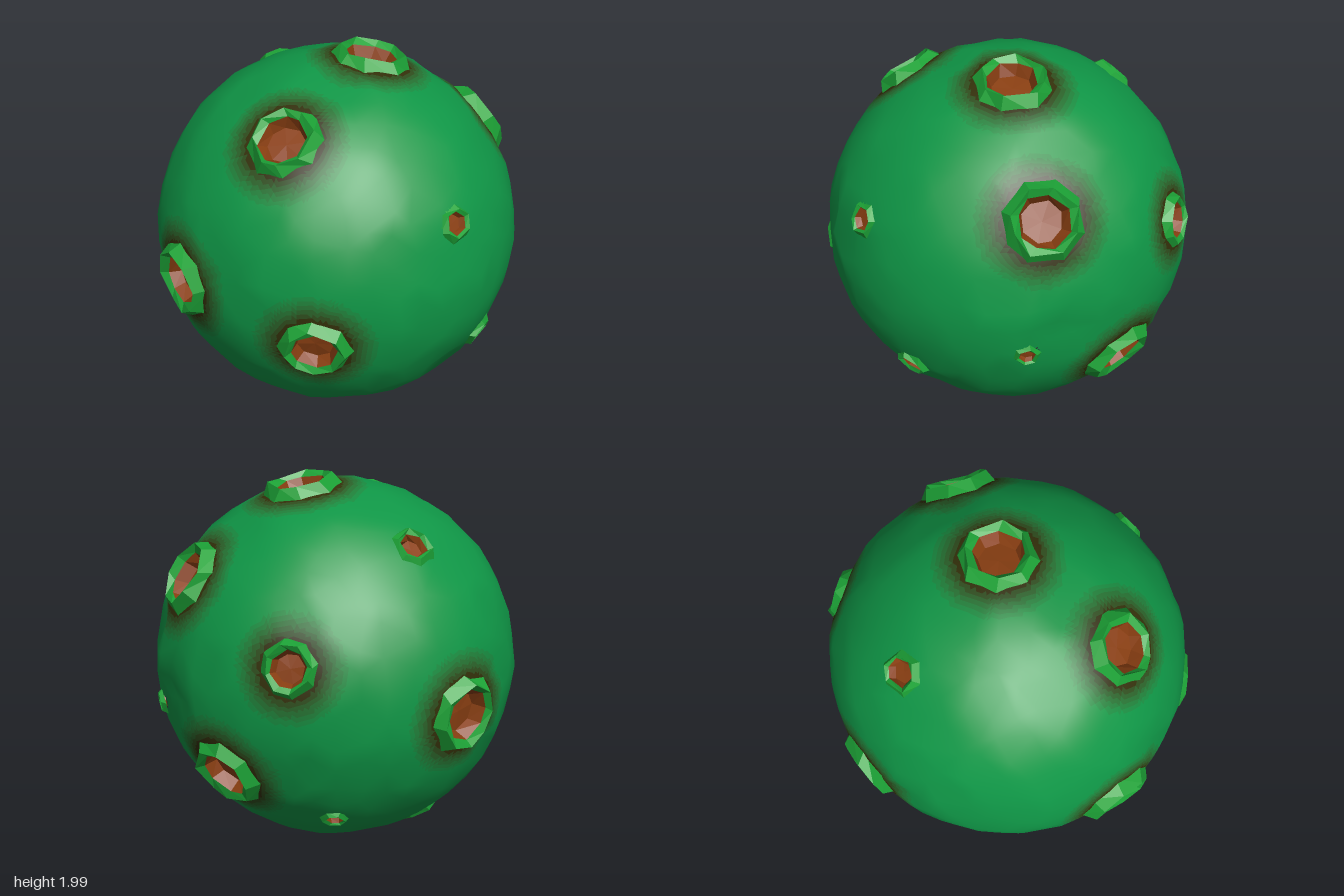
import * as THREE from 'three';
import { mergeVertices } from 'three/addons/utils/BufferGeometryUtils.js';

const RADIUS = 0.965;

// Crater centres as directions from the planet's middle, with outer rim radius
const CRATERS = [
  [-0.20, 0.74, 0.57, 0.19], [-0.74, -0.05, 0.62, 0.20], [-0.02, -0.21, 0.93, 0.18],
  [0.17, 0.94, -0.05, 0.20], [0.75, 0.53, -0.30, 0.20], [0.56, -0.39, -0.68, 0.20],
  [-0.63, -0.06, -0.71, 0.20], [0.23, 0.25, -0.91, 0.14], [-0.45, -0.84, -0.10, 0.15],
  [-0.38, 0.74, -0.50, 0.11], [0.64, 0.36, 0.62, 0.09], [0.78, -0.42, 0.36, 0.095],
  [0.22, -0.89, 0.28, 0.095], [0.91, -0.17, -0.25, 0.065], [0.01, -0.62, -0.74, 0.07],
].map(([x, y, z, r]) => ({ dir: new THREE.Vector3(x, y, z).normalize(), r }));

function seeded(seed) {
  return () => (seed = (seed * 16807) % 2147483647) / 2147483647;
}

// Distance from the nearest rim, in world units, weighted so small craters stain little
function nearestCrater(dir) {
  let ratio = Infinity, halo = 0;
  for (const c of CRATERS) {
    const d = dir.angleTo(c.dir) * RADIUS;
    ratio = Math.min(ratio, d / c.r);
    if (c.r > 0.13) halo = Math.max(halo, 1 - (d - c.r * 0.95) / 0.17);
  }
  return { ratio, halo: THREE.MathUtils.clamp(halo, 0, 0.999) };
}

// Coarse faceted ball with bumps and dents, left smooth around the craters
function coarseBall() {
  const rand = seeded(4711);
  let geo = new THREE.IcosahedronGeometry(1, 7);
  geo.deleteAttribute('uv');
  geo.deleteAttribute('normal');
  geo = mergeVertices(geo, 1e-4);
  const pos = geo.attributes.position;
  const v = new THREE.Vector3();
  for (let i = 0; i < pos.count; i++) {
    v.fromBufferAttribute(pos, i);
    v.x += (rand() - 0.5) * 0.07;
    v.y += (rand() - 0.5) * 0.07;
    v.z += (rand() - 0.5) * 0.07;
    v.normalize();
    let bump = (rand() - 0.5) * 0.014;
    if (rand() < 0.07) bump -= 0.03;
    if (nearestCrater(v).ratio < 1.6) bump = 0;
    v.multiplyScalar(RADIUS + bump);
    pos.setXYZ(i, v.x, v.y, v.z);
  }
  geo.computeVertexNormals();
  return geo.toNonIndexed();
}

// Split every facet finely, cut the crater holes, and sort the pieces into stain bands
function buildGround(group) {
  const SPLIT = 6, BANDS = 7;
  const bands = Array.from({ length: BANDS }, () => ({ p: [], n: [] }));
  const geo = coarseBall();
  const { position, normal } = geo.attributes;
  const corner = (attr, i) => [0, 1, 2].map(k => new THREE.Vector3().fromBufferAttribute(attr, i + k));
  const blend = ([a, b, c], i, j) => a.clone()
    .addScaledVector(b.clone().sub(a), i / SPLIT)
    .addScaledVector(c.clone().sub(a), j / SPLIT);

  for (let t = 0; t < position.count; t += 3) {
    const P = corner(position, t), N = corner(normal, t);
    const piece = (cells) => {
      const pts = cells.map(([i, j]) => blend(P, i, j));
      const mid = pts[0].clone().add(pts[1]).add(pts[2]).normalize();
      const { ratio, halo } = nearestCrater(mid);
      if (ratio < 0.85) return;
      const band = bands[Math.floor(halo * BANDS)];
      pts.forEach((p, k) => {
        band.p.push(p.x, p.y, p.z);
        band.n.push(...blend(N, ...cells[k]).normalize().toArray());
      });
    };
    for (let i = 0; i < SPLIT; i++) {
      for (let j = 0; j < SPLIT - i; j++) {
        piece([[i, j], [i + 1, j], [i, j + 1]]);
        if (i + j < SPLIT - 1) piece([[i + 1, j], [i + 1, j + 1], [i, j + 1]]);
      }
    }
  }

  const green = new THREE.Color(0x0f9646), stain = new THREE.Color(0x33300a);
  bands.forEach(({ p, n }, k) => {
    const g = new THREE.BufferGeometry();
    g.setAttribute('position', new THREE.Float32BufferAttribute(p, 3));
    g.setAttribute('normal', new THREE.Float32BufferAttribute(n, 3));
    const color = green.clone().lerp(stain, k / (BANDS - 1));
    const mesh = new THREE.Mesh(g, new THREE.MeshStandardMaterial({ color }));
    mesh.name = k === 0 ? 'ground' : 'craterStain' + k;
    group.add(mesh);
  });
}

// Strip of faces between rings of points, from the outside inwards
function ringStrip(rings) {
  const out = [];
  const push = (...pts) => pts.forEach(p => out.push(p.x, p.y, p.z));
  for (let k = 0; k < rings.length - 1; k++) {
    const a = rings[k], b = rings[k + 1];
    for (let i = 0; i < a.length; i++) {
      const j = (i + 1) % a.length;
      push(a[i], b[i], a[j]);
      push(a[j], b[i], b[j]);
    }
  }
  const g = new THREE.BufferGeometry();
  g.setAttribute('position', new THREE.Float32BufferAttribute(out, 3));
  g.computeVertexNormals();
  return g;
}

function buildCrater({ dir, r }, index, mats) {
  const rand = seeded(977 + index * 131);
  const sides = r > 0.13 ? 8 : 6;
  const crater = new THREE.Group();
  crater.name = 'crater' + (index + 1);
  // Each ring is [share of radius, height above ground, roughness]
  const ring = ([share, height, rough]) => Array.from({ length: sides }, (_, i) => {
    const a = -(i + (rand() - 0.5) * rough * 4) / sides * Math.PI * 2;
    const d = r * share * (1 + (rand() - 0.5) * rough);
    const h = height * r * (1 + (rand() - 0.5) * rough * 4);
    const flat = Math.sqrt(RADIUS * RADIUS - d * d);
    return new THREE.Vector3(Math.cos(a) * d, flat + h, Math.sin(a) * d);
  });
  const foot = ring([1.12, -0.12, 0.06]);
  const crest = ring([0.84, 0.24, 0.12]);
  const lip = ring([0.66, 0.08, 0.1]);
  const base = ring([0.52, -0.25, 0.06]);
  const centre = base.map(() => new THREE.Vector3(0, RADIUS - 0.27 * r, 0));

  const rim = new THREE.Mesh(ringStrip([foot, crest, lip]), mats.rim);
  rim.name = 'craterRim';
  const floor = new THREE.Mesh(ringStrip([lip, base, centre]), mats.floor);
  floor.name = 'craterFloor';
  crater.add(rim, floor);
  crater.quaternion.setFromUnitVectors(new THREE.Vector3(0, 1, 0), dir);
  return crater;
}

export function createModel() {
  const model = new THREE.Group();
  model.name = 'crateredPlanet';
  const planet = new THREE.Group();
  planet.name = 'planet';
  model.add(planet);

  buildGround(planet);
  const mats = {
    rim: new THREE.MeshStandardMaterial({ color: 0x1ca236, flatShading: true, side: THREE.DoubleSide }),
    floor: new THREE.MeshStandardMaterial({ color: 0x8a3f12, flatShading: true, side: THREE.DoubleSide }),
  };
  CRATERS.forEach((c, i) => planet.add(buildCrater(c, i, mats)));

  // Stand the planet on y = 0
  planet.position.y = -new THREE.Box3().setFromObject(planet, true).min.y;
  return model;
}
